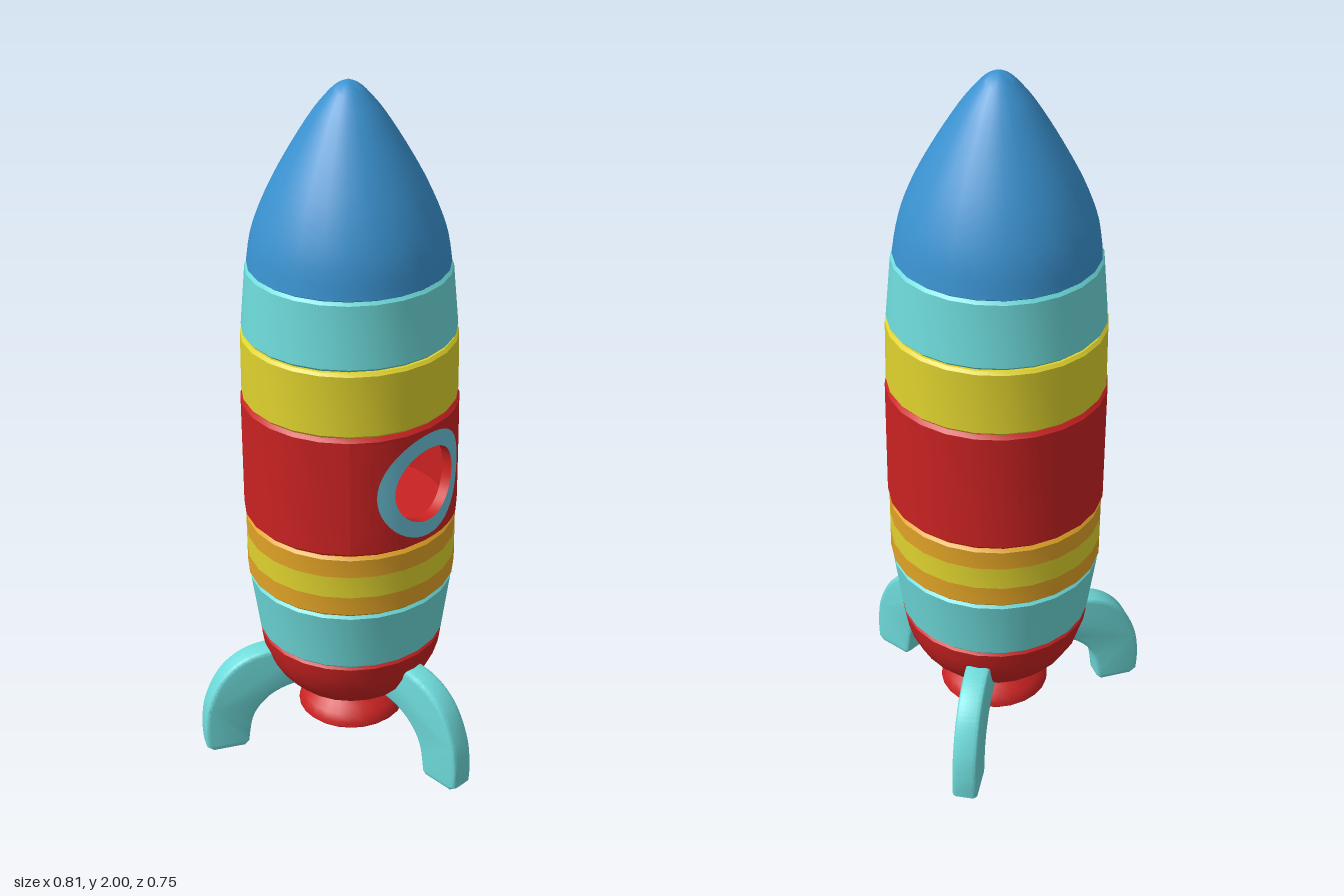
import * as THREE from 'three';
import { toCreasedNormals } from 'three/addons/utils/BufferGeometryUtils.js';

const SIDES = 24;
const WINDOW_Y = 0.95;

const material = (name, color, side = THREE.FrontSide) => {
  const m = new THREE.MeshStandardMaterial({ color, side });
  m.name = name;
  return m;
};

export function createModel() {
  const root = new THREE.Group();
  root.name = 'rocket';
  const body = new THREE.Group();
  body.name = 'body';
  body.position.z = -0.077;
  root.add(body);

  const blue = material('blue', 0x3a92d0);
  const teal = material('teal', 0x6edada);
  const yellow = material('yellow', 0xdfd22e);
  const orange = material('orange', 0xe0a226);
  const red = material('red', 0xca2222, THREE.DoubleSide);
  const ringBlue = material('ring blue', 0x6cc2d8);
  const grey = material('grey', 0xc8c8c8);

  const add = (name, geometry, mat, parent = body) => {
    const mesh = new THREE.Mesh(geometry, mat);
    mesh.name = name;
    parent.add(mesh);
    return mesh;
  };

  // Turned part from [radius, height] pairs, listed from bottom to top
  const turned = (name, profile, mat, start = 0, sweep = Math.PI * 2, sides = SIDES) => {
    const pts = profile.map(([r, y]) => new THREE.Vector2(r, y));
    const segments = Math.round((sides * sweep) / (Math.PI * 2));
    return add(name, toCreasedNormals(new THREE.LatheGeometry(pts, segments, start, sweep), 0.6), mat);
  };

  // Closed hull band with optional chamfers at bottom and top
  const band = (name, y0, y1, r0, r1, mat, c0 = 0.008, c1 = 0.008) =>
    turned(name, [[0, y0], [r0 - c0, y0], [r0, y0 + c0], [r1, y1 - c1], [r1 - c1, y1], [0, y1]], mat);

  // Nose cone
  const noseCurve = new THREE.SplineCurve([
    [0.272, 1.51], [0.257, 1.6], [0.219, 1.7], [0.166, 1.8], [0.104, 1.9],
    [0.066, 1.95], [0.032, 1.985], [0.0, 2.0],
  ].map(([r, y]) => new THREE.Vector2(r, y)));
  const nosePoints = noseCurve.getPoints(24).map((p) => [Math.max(p.x, 0), p.y]);
  turned('noseCone', [[0, 1.505], [0.266, 1.505], ...nosePoints], blue);

  // Hull bands
  band('upperTealBand', 1.32, 1.507, 0.292, 0.277, teal);
  band('upperYellowBand', 1.13, 1.317, 0.297, 0.295, yellow);
  band('lowerStripeTop', 0.705, 0.767, 0.296, 0.296, orange, 0, 0.008);
  band('lowerStripeMiddle', 0.64, 0.705, 0.296, 0.296, yellow, 0, 0);
  band('lowerStripeBottom', 0.577, 0.64, 0.296, 0.296, orange, 0.008, 0);
  band('lowerTealBand', 0.385, 0.575, 0.268, 0.292, teal);

  // Hollow cabin: end caps, and walls left open at the front
  const R = 0.3, RIN = 0.27;
  turned('cabinFloor', [[0, 0.77], [0.29, 0.77], [R, 0.78]], red);
  turned('cabinCeiling', [[R, 1.12], [0.29, 1.13], [0, 1.13]], red);
  turned('cabinWall', [[R, 0.78], [R, 1.12]], red, Math.PI / 4, Math.PI * 1.5);
  turned('cabinInnerWall', [[RIN, 1.13], [RIN, 0.77]], red, Math.PI / 4, Math.PI * 1.5);

  // Surface between two closed outlines, wrapped on the hull cylinder
  const wrapped = (name, inner, outer, rInner, rOuter, mat, steps = 4, n = 48) => {
    const pos = [], index = [];
    for (let j = 0; j <= steps; j++) {
      const k = j / steps, r = THREE.MathUtils.lerp(rInner, rOuter, k);
      for (let i = 0; i < n; i++) {
        const p = inner((i / n) * Math.PI * 2).lerp(outer((i / n) * Math.PI * 2), k);
        pos.push(p.x, WINDOW_Y + p.y, Math.sqrt(r * r - p.x * p.x));
        if (j === steps) continue;
        const a = j * n + i, d = j * n + ((i + 1) % n);
        index.push(a, a + n, d + n, a, d + n, d);
      }
    }
    const g = new THREE.BufferGeometry();
    g.setAttribute('position', new THREE.Float32BufferAttribute(pos, 3));
    g.setIndex(index);
    g.computeVertexNormals();
    return add(name, g, mat);
  };
  const circle = (r) => (t) => new THREE.Vector2(Math.cos(t) * r, Math.sin(t) * r);
  const rectangle = (w, h) => (t) => {
    const c = Math.cos(t), s = Math.sin(t), m = Math.max(Math.abs(c), Math.abs(s));
    return new THREE.Vector2((c / m) * w, (s / m) * h);
  };

  // Front wall with a round porthole and its flush ring
  const hole = circle(0.11), rim = circle(0.156);
  wrapped('cabinFront', rim, rectangle(R * Math.SQRT1_2, 0.17), R, R, red);
  wrapped('portholeRing', hole, rim, R + 0.001, R + 0.001, ringBlue);
  wrapped('portholeEdge', hole, hole, RIN, R + 0.001, red, 1);
  wrapped('cabinInnerFront', hole, rectangle(RIN * Math.SQRT1_2, 0.18), RIN, RIN, red);

  // Rounded tail and engine nozzle
  turned('tail', [
    [0, 0.165], [0.1, 0.167], [0.145, 0.185], [0.185, 0.213], [0.22, 0.25],
    [0.246, 0.295], [0.26, 0.34], [0.266, 0.378], [0.26, 0.385], [0, 0.385],
  ], red);
  turned('nozzle', [
    [0, 0.09], [0.15, 0.09], [0.157, 0.097], [0.155, 0.11], [0.143, 0.13],
    [0.122, 0.147], [0.107, 0.16], [0.105, 0.18],
  ], red);
  add('nozzlePlate', new THREE.BoxGeometry(0.125, 0.03, 0.125), grey).position.y = 0.085;

  // Curved legs, drawn in the radial plane
  const v = (pairs) => pairs.map(([x, y]) => new THREE.Vector2(x, y));
  const legShape = new THREE.Shape();
  legShape.moveTo(0.14, 0.32);
  legShape.lineTo(0.14, 0.2);
  legShape.splineThru(v([[0.2, 0.193], [0.26, 0.163], [0.305, 0.105], [0.322, 0.015]]));
  legShape.lineTo(0.335, 0.002);
  legShape.lineTo(0.43, 0);
  legShape.lineTo(0.45, 0.015);
  legShape.splineThru(v([[0.452, 0.08], [0.44, 0.16], [0.4, 0.245], [0.34, 0.3], [0.26, 0.325], [0.14, 0.325]]));
  const bevel = 0.012, width = 0.07;
  const legGeometry = new THREE.ExtrudeGeometry(legShape, {
    depth: width - 2 * bevel, bevelThickness: bevel, bevelSize: bevel,
    bevelOffset: -bevel, bevelSegments: 3, curveSegments: 20,
  });
  legGeometry.translate(0, 0, bevel - width / 2);
  const smoothLeg = toCreasedNormals(legGeometry, 0.7);
  for (let i = 0; i < 3; i++) {
    add('leg' + (i + 1), smoothLeg, teal).rotation.y = -Math.PI / 2 + (i * Math.PI * 2) / 3;
  }

  return root;
}
